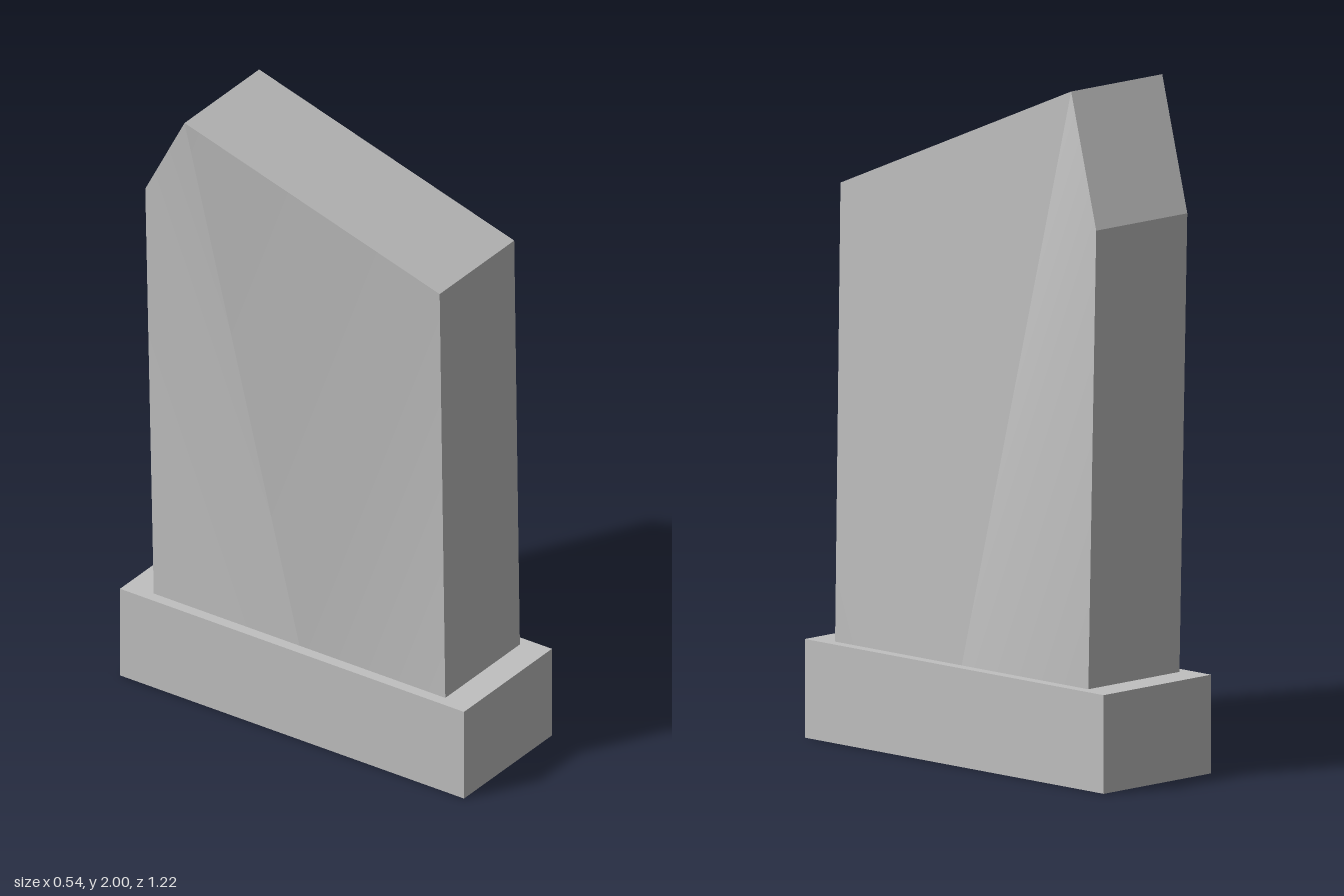
import * as THREE from 'three';

// One quad (two triangles, split a-c) with its own normals
function quad(a, b, c, d) {
  const geo = new THREE.BufferGeometry();
  geo.setAttribute('position', new THREE.Float32BufferAttribute([...a, ...b, ...c, ...d], 3));
  geo.setIndex([0, 1, 2, 0, 2, 3]);
  geo.computeVertexNormals();
  return geo;
}

export function createModel() {
  const model = new THREE.Group();
  model.name = 'gravestone';
  const stone = new THREE.MeshStandardMaterial({ color: 0xc0c0c0 });
  stone.name = 'grey stone';

  const add = (name, geo, parent) => {
    const mesh = new THREE.Mesh(geo, stone);
    mesh.name = name;
    parent.add(mesh);
    return mesh;
  };

  // Plinth
  add('plinth', new THREE.BoxGeometry(0.44, 0.29, 1.215), model).position.set(0.05, 0.145, -0.0025);

  // Slab with a peak that leans sideways: the two sides share one outline
  const slab = new THREE.Group();
  slab.name = 'slab';
  model.add(slab);
  const width = 0.373;
  const right = [
    [0.237, 0.29, 0.515],  // front foot
    [0.23, 1.64, 0.5],     // front shoulder
    [0.101, 2, -0.31],     // peak
    [0.23, 1.64, -0.54],   // back shoulder
    [0.237, 0.29, -0.515], // back foot
    [0.237, 0.29, 0],      // middle of the foot
  ];
  const left = right.map(([x, y, z]) => [x - width, y, z]);

  // Front, the two roof slopes and the back
  ['slabFront', 'frontSlope', 'backSlope', 'slabBack'].forEach((name, i) =>
    add(name, quad(right[i], right[i + 1], left[i + 1], left[i]), slab));

  // Sides, creased from the peak to the middle of the foot
  const [rf, rfs, rp, rbs, rb, rm] = right;
  const [lf, lfs, lp, lbs, lb, lm] = left;
  add('sideFrontHalf', quad(rm, rp, rfs, rf), slab);
  add('sideBackHalf', quad(rm, rb, rbs, rp), slab);
  add('farSideFrontHalf', quad(lm, lf, lfs, lp), slab);
  add('farSideBackHalf', quad(lm, lp, lbs, lb), slab);

  return model;
}
